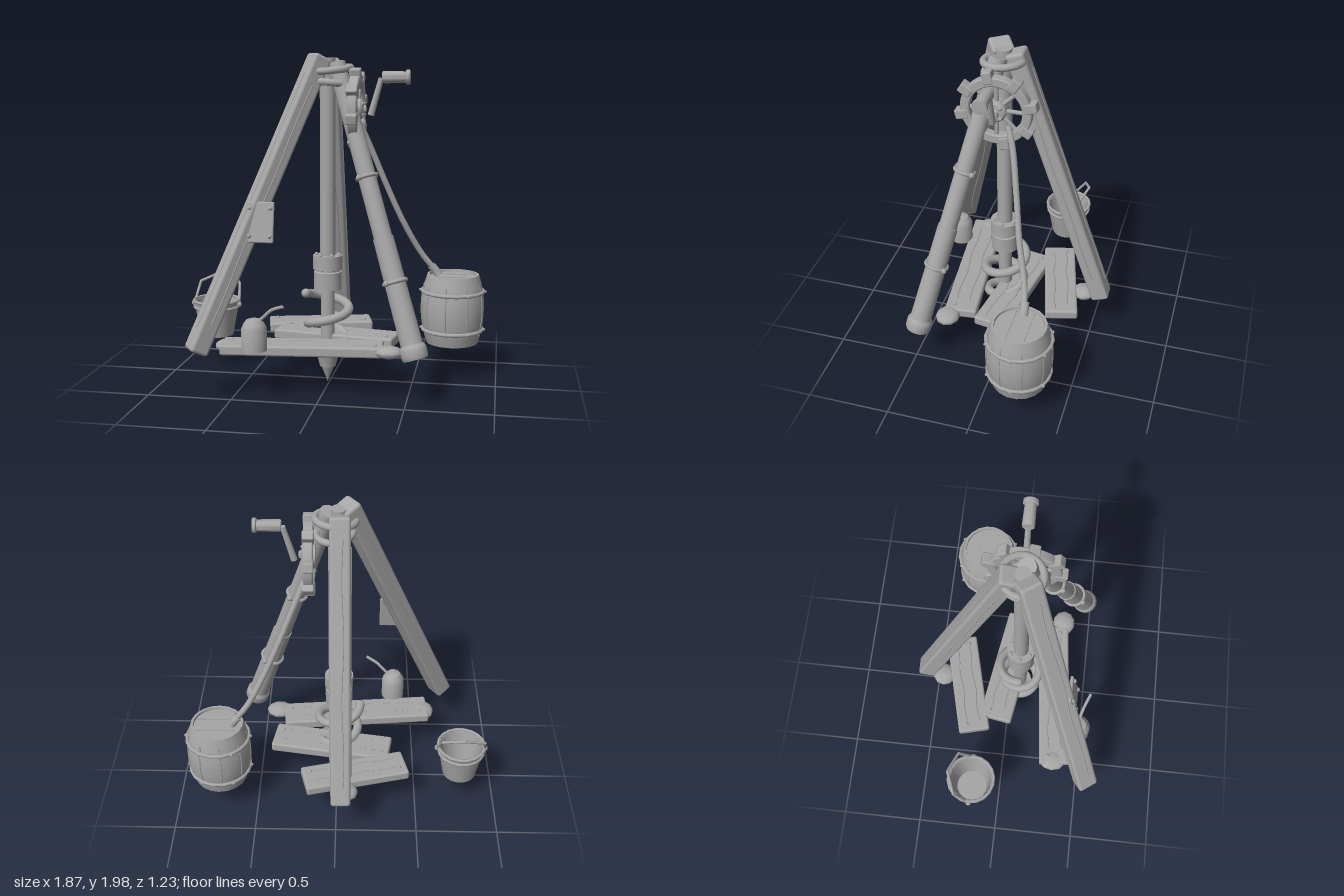
import * as THREE from 'three';
import { toCreasedNormals } from 'three/addons/utils/BufferGeometryUtils.js';
import { RoundedBoxGeometry } from 'three/addons/geometries/RoundedBoxGeometry.js';

const V = (x, y, z) => new THREE.Vector3(x, y, z);
const AXIS = { x: -0.01, z: 0.065 };

export function createModel() {
  const root = new THREE.Group();
  const grey = new THREE.MeshStandardMaterial({ color: 0xa6a6a6 });
  grey.name = 'grey';
  grey.side = THREE.DoubleSide;

  const add = (name, geo, pos = [0, 0, 0], rot = [0, 0, 0], parent = root) => {
    const m = new THREE.Mesh(geo, grey);
    m.name = name;
    m.position.set(...pos);
    m.rotation.set(...rot);
    parent.add(m);
    return m;
  };
  const group = (name, pos = [0, 0, 0], rot = [0, 0, 0]) => {
    const g = new THREE.Group();
    g.name = name;
    g.position.set(...pos);
    g.rotation.set(...rot);
    root.add(g);
    return g;
  };
  const lathe = (pts, seg = 24) =>
    toCreasedNormals(new THREE.LatheGeometry(pts.map(p => new THREE.Vector2(...p)), seg), 0.55);
  const tube = (pts, r, seg = 32, sides = 10) =>
    new THREE.TubeGeometry(new THREE.CatmullRomCurve3(pts.map(p => V(...p))), seg, r, sides);
  const cyl = (r1, r2, h, seg = 20) => new THREE.CylinderGeometry(r1, r2, h, seg);
  const bolt = (r = 0.013) => new THREE.SphereGeometry(r, 10, 8);

  // Group whose local y runs from a to b and whose local z points outwards from the axis
  const span = (name, a, b) => {
    const g = group(name);
    const dir = b.clone().sub(a).normalize();
    const out = V(a.x - b.x, 0, a.z - b.z);
    const x = dir.clone().cross(out).normalize();
    const z = x.clone().cross(dir);
    g.quaternion.setFromRotationMatrix(new THREE.Matrix4().makeBasis(x, dir, z));
    g.position.copy(a).add(b).multiplyScalar(0.5);
    return { g, len: a.distanceTo(b) };
  };
  // Wavy grain line along local y
  const grain = (len, wave) => {
    const pts = [];
    for (let i = 0; i <= 10; i++) pts.push([wave * Math.sin(i * 1.3), (i / 10 - 0.5) * len, 0]);
    return tube(pts, 0.005, 30, 6);
  };

  // Timber legs
  const timber = (name, a, b, w, d) => {
    const { g, len } = span(name, a, b);
    add('beam', new RoundedBoxGeometry(w, len, d, 2, 0.018), [0, 0, 0], [0, 0, 0], g);
    for (const s of [-1, 1]) {
      add('grain', grain(len * 0.86, 0.006), [0.012 * s, 0, s * d / 2], [0, 0, 0], g);
      add('sideGrain', grain(len * 0.8, 0.004), [s * w / 2, 0, 0], [0, Math.PI / 2, 0], g);
    }
  };
  timber('leftLeg', V(-0.69, 0.29, 0.555), V(-0.05, 1.96, 0.09), 0.13, 0.11);
  timber('backLeg', V(-0.03, 0.3, -0.56), V(-0.015, 1.94, 0.0), 0.12, 0.11);

  // Pipe leg with clamps and foot cap
  const pipe = span('pipeLeg', V(0.555, 0.29, 0.455), V(0.045, 1.92, 0.08));
  const L = pipe.len;
  add('upperPipe', cyl(0.052, 0.054, L * 0.62), [0, L * 0.19, 0], [0, 0, 0], pipe.g);
  add('lowerPipe', cyl(0.06, 0.065, L * 0.4), [0, -L * 0.3, 0], [0, 0, 0], pipe.g);
  add('foot', lathe([[0, 0], [0.07, 0], [0.077, 0.015], [0.077, 0.065], [0.065, 0.085], [0, 0.085]]),
    [0, -L / 2 - 0.01, 0], [0, 0, 0], pipe.g);
  for (const t of [-0.25, 0.105]) {
    const r = t < 0 ? 0.065 : 0.057;
    add('clamp', new THREE.TorusGeometry(r, 0.012, 8, 24), [0, t * L, 0], [Math.PI / 2, 0, 0], pipe.g);
    for (const s of [-1, 1]) add('clampBolt', bolt(0.017), [s * (r + 0.01), t * L, 0], [0, 0, 0], pipe.g);
  }

  // Rope lashings around the apex
  add('upperLashing', new THREE.TorusGeometry(0.115, 0.021, 10, 32), [0.01, 1.885, 0.06], [Math.PI / 2 + 0.08, 0.08, 0]);
  add('lowerLashing', new THREE.TorusGeometry(0.105, 0.021, 10, 32), [0.015, 1.8, 0.065], [Math.PI / 2 - 0.1, -0.1, 0]);

  // Repair plate on the left leg
  const plate = group('repairPlate', [-0.34, 1.025, 0.405], [-0.18, 0, 0]);
  add('plate', new RoundedBoxGeometry(0.16, 0.235, 0.02, 2, 0.008), [0, 0, 0], [0, 0, 0], plate);
  for (const x of [-1, 1]) for (const y of [-1, 1])
    add('plateBolt', bolt(), [x * 0.06, y * 0.08, 0.012], [0, 0, 0], plate);

  // Drill: shaft, collar, tip and screw
  const drill = group('drill', [AXIS.x, 0, AXIS.z]);
  add('shaft', cyl(0.046, 0.046, 1.22), [0, 1.34, 0], [0, 0, 0], drill);
  add('rod', cyl(0.042, 0.042, 0.45), [0, 0.38, 0], [0, 0, 0], drill);
  add('collar', lathe([[0, 0.58], [0.084, 0.58], [0.084, 0.685], [0.076, 0.69], [0.076, 0.698],
    [0.088, 0.702], [0.088, 0.785], [0, 0.785]]), [0, 0, 0], [0, 0, 0], drill);
  for (let i = 0; i < 6; i++) {
    const a = i * Math.PI / 3;
    add('collarBolt', bolt(), [0.068 * Math.cos(a), 0.788, 0.068 * Math.sin(a)], [0, 0, 0], drill);
  }
  add('tip', lathe([[0, 0], [0.04, 0.1], [0.048, 0.1], [0.072, 0.19], [0, 0.19]], 16), [0, 0, 0], [0, 0, 0], drill);
  const screw = [];
  for (let i = 0; i <= 32; i++) {
    const t = i / 32, a = t * Math.PI * 4, r = 0.135 - 0.03 * t;
    screw.push([-r * Math.cos(a), 0.545 - 0.365 * t, -r * Math.sin(a)]);
  }
  add('screw', tube(screw, 0.028, 96, 10), [0, 0, 0], [0, 0, 0], drill);
  for (const i of [0, 32]) add('screwEnd', bolt(0.028), screw[i], [0, 0, 0], drill);

  // Toothed wheel facing +x
  const wheel = group('wheel', [0.16, 1.655, 0.06], [0, Math.PI / 2, 0]);
  const ring = new THREE.Shape().absarc(0, 0, 0.2, 0, Math.PI * 2);
  ring.holes.push(new THREE.Path().absarc(0, 0, 0.158, 0, Math.PI * 2, true));
  const rim = new THREE.ExtrudeGeometry(ring, { depth: 0.044, bevelSize: 0.006, bevelThickness: 0.006, bevelSegments: 1, curveSegments: 28 });
  add('rim', toCreasedNormals(rim, 0.5), [0, 0, -0.022], [0, 0, 0], wheel);
  for (let i = 0; i < 8; i++) {
    const a = i * Math.PI / 4, b = a + 0.23;
    add('tooth', new RoundedBoxGeometry(0.075, 0.058, 0.066, 2, 0.008),
      [0.204 * Math.cos(b), 0.204 * Math.sin(b), 0], [0, 0, b], wheel);
    add('spoke', cyl(0.012, 0.014, 0.13, 8),
      [0.11 * Math.cos(a), 0.11 * Math.sin(a), 0], [0, 0, a - Math.PI / 2], wheel);
    if (i % 2) add('hubBolt', bolt(0.011), [0.045 * Math.cos(a), 0.045 * Math.sin(a), 0.04], [0, 0, 0], wheel);
  }
  add('hub', lathe([[0, -0.035], [0.062, -0.035], [0.062, 0.028], [0.05, 0.04], [0.025, 0.045], [0.02, 0.058], [0, 0.062]]),
    [0, 0, 0], [Math.PI / 2, 0, 0], wheel);

  // Crank arm and grip
  const arm = span('crankArm', V(0.245, 1.62, 0.06), V(0.305, 1.835, 0.06));
  add('arm', cyl(0.016, 0.02, arm.len, 12), [0, 0, 0], [0, 0, 0], arm.g);
  add('grip', lathe([[0, 0], [0.033, 0], [0.036, 0.01], [0.033, 0.135], [0.043, 0.14], [0.043, 0.16], [0, 0.163]]),
    [0.312, 1.84, 0.06], [0, 0, -Math.PI / 2]);

  // Ground planks
  const plank = (name, x, z, len, w, yaw) => {
    const g = group(name, [x, 0.273, z], [0, yaw, 0]);
    add('board', new RoundedBoxGeometry(len, 0.062, w, 2, 0.014), [0, 0, 0], [0, 0, 0], g);
    for (const s of [-1, 1]) {
      add('boardGrain', grain(len * 0.8, 0.006), [0, 0.03, s * w * 0.2], [Math.PI / 2, 0, Math.PI / 2], g);
      add('nail', bolt(0.012), [s * (len / 2 - 0.05), 0.032, s * w * 0.22], [0, 0, 0], g);
    }
  };
  plank('backPlank', -0.115, -0.275, 0.65, 0.2, 0.25);
  plank('middlePlank', 0.035, -0.01, 0.75, 0.21, -0.16);
  plank('frontPlank', -0.12, 0.3, 0.95, 0.2, 0.1);

  // Stones wedged under the legs
  for (const [x, z, w, d] of [[0.39, 0.32, 0.085, 0.075], [-0.56, 0.33, 0.075, 0.09], [-0.06, -0.44, 0.075, 0.075]])
    add('stone', new THREE.SphereGeometry(1, 10, 7), [x, 0.275, z]).scale.set(w, 0.036, d);

  // Barrel
  const barrel = group('barrel', [0.725, 0.205, -0.23]);
  const bulge = y => 0.16 + 0.036 * (1 - (y / 0.215 - 1) ** 2);
  const side = [];
  for (let i = 0; i <= 8; i++) side.push([bulge(i * 0.05375), i * 0.05375]);
  add('staves', lathe([[0, 0.012], [0.145, 0.012], [0.15, 0], ...side, [0.145, 0.43], [0.143, 0.415], [0, 0.415]], 18),
    [0, 0, 0], [0, 0, 0], barrel);
  for (const y of [0.085, 0.325]) {
    add('hoop', new THREE.TorusGeometry(bulge(y) + 0.003, 0.012, 8, 18), [0, y, 0], [Math.PI / 2, 0, 0], barrel);
    for (let i = 0; i < 6; i++)
      add('rivet', bolt(0.009), [(bulge(y) + 0.013) * Math.cos(i * 1.047), y, (bulge(y) + 0.013) * Math.sin(i * 1.047)], [0, 0, 0], barrel);
  }
  for (let i = 0; i < 9; i++) {
    const a = (i * 2 + 1) * Math.PI / 9;
    const pts = [0.06, 0.14, 0.215, 0.29, 0.37].map(y => [(bulge(y) - 0.002) * Math.cos(a), y, (bulge(y) - 0.002) * Math.sin(a)]);
    add('seam', tube(pts, 0.004, 10, 5), [0, 0, 0], [0, 0, 0], barrel);
  }
  for (const z of [-0.055, 0.05])
    add('lidSeam', new THREE.BoxGeometry(0.26, 0.006, 0.008), [0, 0.417, z], [0, 0, 0], barrel);

  // Hose from wheel to barrel
  add('hose', tube([[0.62, 0.65, -0.23], [0.53, 0.765, -0.205], [0.42, 0.97, -0.145], [0.32, 1.2, -0.1],
    [0.22, 1.45, -0.05], [0.17, 1.57, -0.01]], 0.018, 40));
  add('nozzle', tube([[0.635, 0.625, -0.23], [0.62, 0.65, -0.23], [0.59, 0.685, -0.225]], 0.026, 8, 12));

  // Bucket with a tilted handle
  const bucket = group('bucket', [-0.775, 0.2, -0.17]);
  add('pail', lathe([[0, 0], [0.104, 0], [0.145, 0.22], [0.132, 0.22], [0.096, 0.015], [0, 0.015]], 18), [0, 0, 0], [0, 0, 0], bucket);
  for (const [y, r] of [[0.225, 0.144], [0.185, 0.14]])
    add('pailHoop', new THREE.TorusGeometry(r, 0.01, 8, 18), [0, y, 0], [Math.PI / 2, 0, 0], bucket);
  const handle = [[-0.148, 0.2, 0], [-0.13, 0.325, -0.09], [0, 0.38, -0.14], [0.13, 0.325, -0.09], [0.148, 0.2, 0]];
  for (let i = 0; i < 4; i++)
    add('handle', new THREE.TubeGeometry(new THREE.LineCurve3(V(...handle[i]), V(...handle[i + 1])), 1, 0.009, 8), [0, 0, 0], [0, 0, 0], bucket);
  for (const s of [-1, 1]) add('handlePivot', bolt(0.018), [s * 0.148, 0.2, 0], [0, 0, 0], bucket);

  // Oil can
  const can = group('oilCan', [-0.365, 0.295, 0.475]);
  add('canBody', lathe([[0, 0], [0.073, 0], [0.073, 0.13], [0.062, 0.155], [0.045, 0.178], [0.02, 0.186], [0, 0.188]], 20),
    [0, 0, 0], [0, 0, 0], can);
  add('spout', tube([[0.03, 0.17, 0], [0.07, 0.21, 0.01], [0.11, 0.245, 0.025], [0.18, 0.275, 0.055]], 0.01, 20, 8),
    [0, 0, 0], [0, 0, 0], can);

  return root;
}
